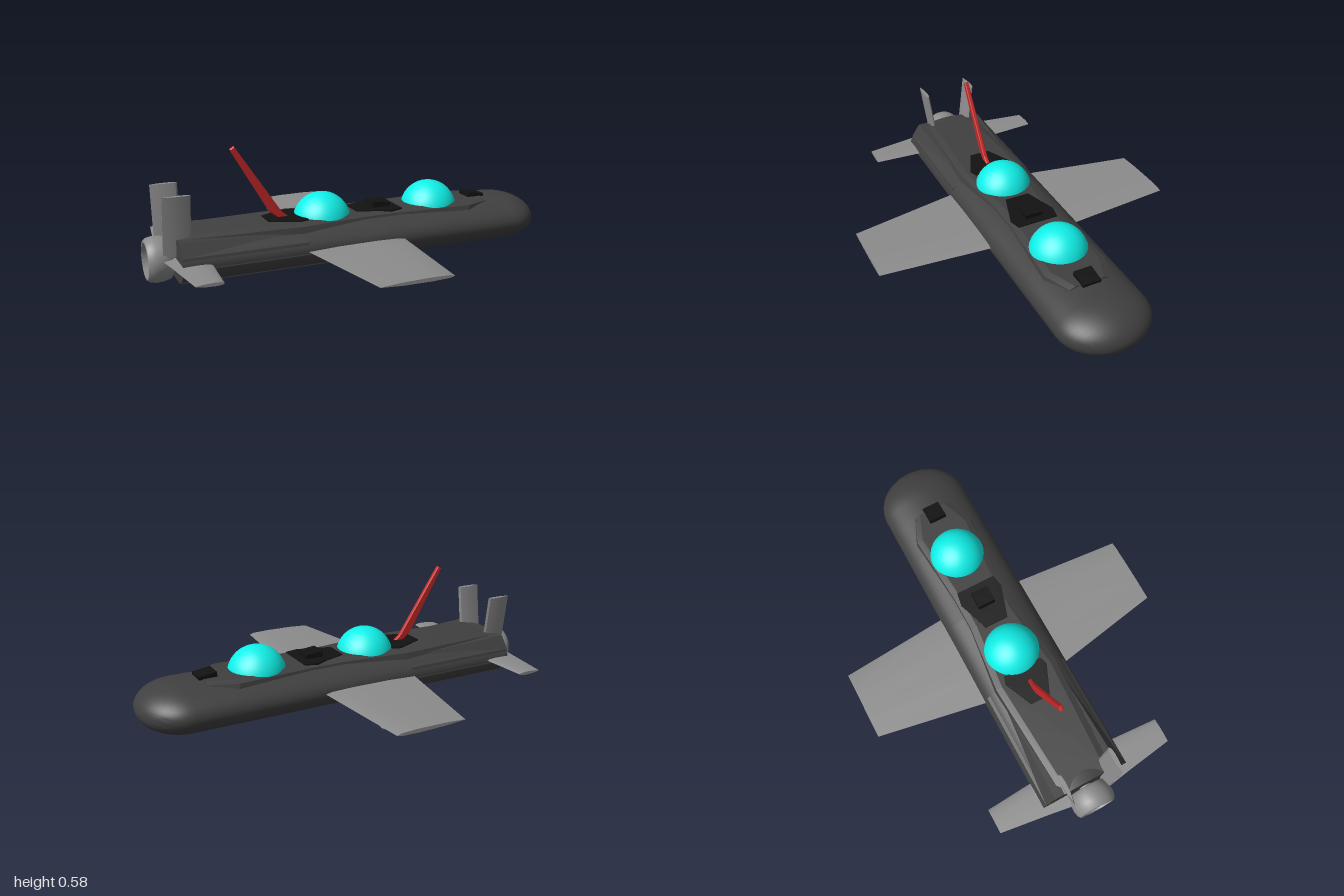
import * as THREE from 'three';
import { toCreasedNormals } from 'three/addons/utils/BufferGeometryUtils.js';

const mat = (color) => new THREE.MeshStandardMaterial({ color, side: THREE.DoubleSide });

// Closed surface through rings of [x, y, z] points, with both ends capped
function loft(rings, crease = 0.6) {
  const n = rings[0].length, pos = rings.flat(2), idx = [];
  for (let r = 0; r < rings.length - 1; r++) {
    for (let i = 0; i < n; i++) {
      const a = r * n + i, b = r * n + (i + 1) % n;
      idx.push(a, b, a + n, b, b + n, a + n);
    }
  }
  const end = (rings.length - 1) * n;
  for (let i = 1; i < n - 1; i++) idx.push(0, i + 1, i, end, end + i, end + i + 1);
  const g = new THREE.BufferGeometry();
  g.setAttribute('position', new THREE.Float32BufferAttribute(pos, 3));
  g.setIndex(idx);
  return toCreasedNormals(g, crease);
}

// Thin aerofoil outline along x: fraction of chord, half thickness
const foil = [[0, 0.1], [0.3, 0.8], [0.7, 1], [0.93, 0.7], [1, 0],
  [0.93, -0.7], [0.7, -1], [0.3, -0.8], [0, -0.1]];

// Horizontal plate outlined by [x, z] points, spanning y0 to y1
function plate(points, y0, y1) {
  const shape = new THREE.Shape(points.map(([x, z]) => new THREE.Vector2(x, -z)));
  const g = new THREE.ExtrudeGeometry(shape, { depth: y1 - y0, bevelEnabled: false });
  return g.rotateX(-Math.PI / 2).translate(0, y0, 0);
}
const mirrored = (half) => [...half, ...half.slice().reverse().map(([x, z]) => [x, -z])];

export function createModel() {
  const root = new THREE.Group();
  const dark = mat(0x404040), black = mat(0x121212), grey = mat(0x8c8c8c);
  const cyan = mat(0x10f0e8), red = mat(0xc62828);
  const add = (name, geometry, material, parent = root) => {
    const m = new THREE.Mesh(geometry, material);
    m.name = name;
    parent.add(m);
    return m;
  };

  // Hull: oval sections, flattened keel, ellipsoid nose
  const stations = [-0.88, -0.3, 0.1, 0.5, 0.6, 0.7, 0.8];
  for (let i = 1; i <= 12; i++) stations.push(0.8 + 0.2 * Math.sin((i / 12) * Math.PI / 2));
  const hull = stations.map((x) => {
    const s = x <= 0.8 ? 1 : Math.sqrt(Math.max(0, 1 - ((x - 0.8) / 0.2) ** 2));
    const keel = 0.03 - 0.025 * THREE.MathUtils.smoothstep(x, 0.48, 0.75);
    return Array.from({ length: 56 }, (_, i) => {
      const a = (i / 56) * Math.PI * 2;
      return [x, Math.max(keel, 0.12 + 0.113 * s * Math.sin(a)), 0.225 * s * Math.cos(a)];
    });
  });
  add('hull', loft(hull), dark);

  // Raised deck, swelling around the two canopies
  const deckLine = [[-0.88, 0.13], [-0.82, 0.134], [-0.3, 0.162], [0.03, 0.125],
    [0.2, 0.125], [0.57, 0.15], [0.7, 0.1]];
  const deck = deckLine.map(([x, w], i) => {
    const top = i === 0 ? 0.222 : 0.234;
    return [[x, 0.12, -w - 0.025], [x, top - 0.01, -w], [x, top, -w + 0.03],
      [x, top, w - 0.03], [x, top - 0.01, w], [x, 0.12, w + 0.025]];
  });
  add('deck', loft(deck, 0.3), dark);

  for (const s of [1, -1]) {
    // Ledges along the rear flanks
    const ledge = [[-0.88, 0.225, 0.17], [-0.3, 0.2, 0.155]].map(([x, y, z]) =>
      [[x, y, s * (z - 0.05)], [x, y, s * z], [x, 0.165, s * 0.212],
        [x, 0.11, s * 0.226], [x, 0.11, s * 0.1]]);
    add('rearLedge', loft(ledge, 0.2), dark);
    const keelRail = new THREE.BoxGeometry(0.8, 0.03, 0.05);
    add('keelRail', keelRail, dark).position.set(-0.48, 0.048, s * 0.13);

    // Main wings and tailplanes: [z, trailing x, leading x]
    const wing = (name, spans, y, t) => add(name, loft(spans.map(([z, x0, x1]) =>
      foil.map(([f, h]) => [x0 + f * (x1 - x0), y + h * t, s * z])), 0.5), grey);
    wing('wing', [[0.1, -0.33, 0.19], [0.21, -0.31, 0.18], [0.757, -0.21, 0.135]], 0.123, 0.009);
    wing('tailplane', [[0.08, -0.94, -0.74], [0.22, -0.918, -0.75], [0.455, -0.885, -0.765]], 0.125, 0.008);

    // Upright tail fins, leaning outward
    const fin = [[0.14, 0.09], [0.3, 0.112], [0.42, 0.128]].map(([y, z]) =>
      foil.map(([f, h]) => [-0.937 + f * 0.125, y, s * (z + h * 0.011)]));
    add('tailFin', loft(fin, 0.5), grey);

    // Ducted engines under the wings
    for (const z of [0.345, 0.455]) {
      const pod = new THREE.Group();
      pod.name = 'engine';
      pod.position.set(-0.032, 0.06, s * z);
      root.add(pod);
      const ring = [[0.042, -0.052], [0.05, -0.052], [0.055, -0.025], [0.055, 0.03],
        [0.052, 0.048], [0.046, 0.052], [0.041, 0.045], [0.04, 0], [0.042, -0.052]];
      const duct = new THREE.LatheGeometry(ring.map((p) => new THREE.Vector2(...p)), 32);
      add('engineDuct', toCreasedNormals(duct.rotateZ(-Math.PI / 2), 0.7), grey, pod);
      add('engineHub', new THREE.SphereGeometry(0.013, 16, 10).scale(2, 1, 1), grey, pod);
      for (let i = 0; i < 5; i++) {
        const blade = new THREE.BoxGeometry(0.006, 0.042, 0.014);
        blade.rotateY(0.6).translate(0, 0.022, 0).rotateX((i / 5) * Math.PI * 2);
        add('engineBlade', blade, grey, pod);
      }
    }
  }

  // Rear propulsor: rounded duct, hub, stator blades and shaft
  const shroud = [[0.08, -0.055], [0.09, -0.054], [0.1, -0.04], [0.105, -0.015], [0.103, 0.02],
    [0.095, 0.05], [0.088, 0.055], [0.084, 0.045], [0.08, 0], [0.08, -0.055]];
  const shroudGeo = new THREE.LatheGeometry(shroud.map((p) => new THREE.Vector2(...p)), 40);
  add('propulsorDuct', toCreasedNormals(shroudGeo.rotateZ(-Math.PI / 2), 0.7), grey)
    .position.set(-0.945, 0.11, 0);
  const shaft = new THREE.CylinderGeometry(0.035, 0.012, 0.13, 24).rotateZ(-Math.PI / 2);
  add('propulsorHub', shaft, grey).position.set(-0.92, 0.11, 0);
  for (let i = 0; i < 6; i++) {
    const blade = new THREE.BoxGeometry(0.008, 0.07, 0.03);
    blade.rotateY(0.6).translate(0, 0.05, 0).rotateX((i / 6) * Math.PI * 2);
    add('propulsorBlade', blade, grey).position.set(-0.945, 0.11, 0);
  }

  // Canopy domes
  for (const x of [-0.155, 0.422]) {
    add('canopy', new THREE.SphereGeometry(0.139, 40, 28), cyan).position.set(x, 0.196, 0);
  }

  // Black deck panels and hatches
  add('midPanel', plate(mirrored([[0, 0.06], [0.16, 0.112], [0.225, 0.1]]), 0.225, 0.238), black);
  add('aftPanel', plate(mirrored([[-0.44, 0.05], [-0.3, 0.112], [-0.26, 0.1]]), 0.225, 0.239), black);
  for (const [x, y, tilt] of [[0.142, 0.247, -0.1], [0.675, 0.237, -0.15]]) {
    const hatch = add('hatch', new THREE.BoxGeometry(0.088, 0.03, 0.088), black);
    hatch.position.set(x, y, 0);
    hatch.rotation.z = tilt;
  }

  // Swept red mast
  const mast = new THREE.Shape([[-0.598, 0.577], [-0.577, 0.59], [-0.36, 0.265],
    [-0.32, 0.23], [-0.37, 0.23], [-0.418, 0.268]].map((p) => new THREE.Vector2(...p)));
  const mastGeo = new THREE.ExtrudeGeometry(mast, { depth: 0.012, bevelEnabled: true,
    bevelThickness: 0.004, bevelSize: 0.004, bevelOffset: -0.004, bevelSegments: 1 });
  add('mast', mastGeo.translate(0, 0, -0.006), red);

  return root;
}
